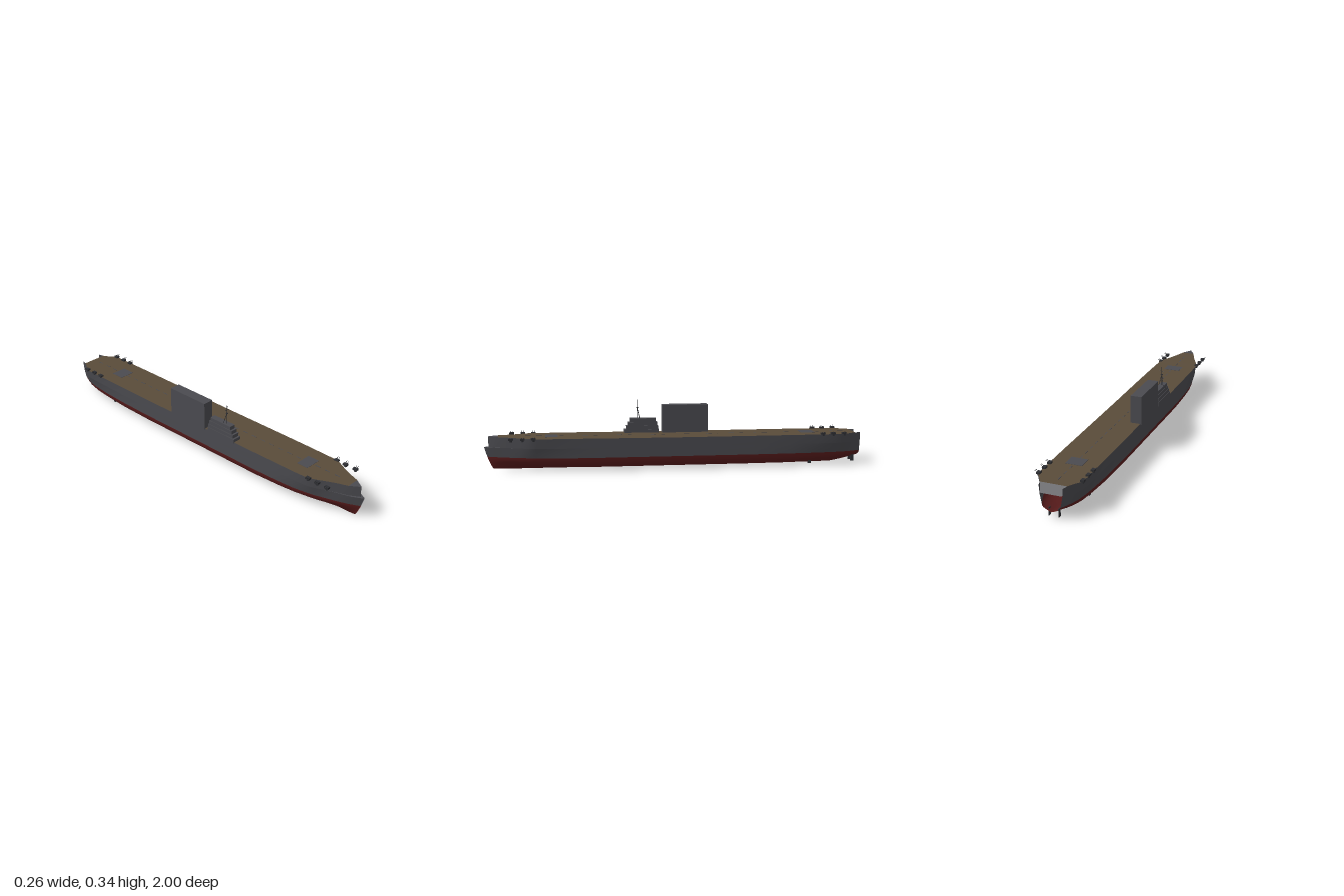
import * as THREE from 'three';

const paint = (name, color, double) => {
  const m = new THREE.MeshStandardMaterial({ color });
  m.name = name;
  if (double) m.side = THREE.DoubleSide;
  return m;
};

// Hull stations: z, keel height, half width at waterline, half width at deck, deck height, bilge fullness
const STATIONS = [
  [-1.0, 0.036, 0.046, 0.06, 0.165, 0.5],
  [-0.97, 0.029, 0.06, 0.068, 0.165, 0.55],
  [-0.94, 0.021, 0.073, 0.085, 0.165, 0.6],
  [-0.9, 0.012, 0.086, 0.114, 0.165, 0.65],
  [-0.85, 0.003, 0.095, 0.116, 0.165, 0.72],
  [-0.75, 0.001, 0.105, 0.116, 0.165, 0.8],
  [-0.6, 0, 0.113, 0.117, 0.165, 0.95],
  [-0.4, 0, 0.117, 0.117, 0.165, 1],
  [0, 0, 0.117, 0.117, 0.165, 1],
  [0.4, 0, 0.117, 0.117, 0.167, 1],
  [0.55, 0, 0.112, 0.116, 0.168, 0.9],
  [0.65, 0, 0.105, 0.115, 0.168, 0.8],
  [0.73, 0, 0.092, 0.113, 0.169, 0.7],
  [0.77, 0, 0.082, 0.102, 0.17, 0.65],
  [0.81, 0, 0.069, 0.082, 0.17, 0.6],
  [0.86, 0, 0.05, 0.055, 0.171, 0.5],
  [0.91, 0, 0.026, 0.034, 0.172, 0.4],
  [0.95, 0.003, 0.002, 0.003, 0.173, 0.3],
];
const WATER = 0.066, SHELF = 0.117;
const BILGE = [[0, 0], [0.25, 0.05], [0.5, 0.13], [0.72, 0.27], [0.88, 0.46], [0.97, 0.7], [1, 1]];

// The stem leans forward as it rises
const rake = (z, y) => z + 0.05 * Math.max(0, (z - 0.81) / 0.14) * Math.pow(Math.min(y, SHELF) / SHELF, 0.7);
const topZ = (z) => z + 0.025 * Math.max(0, (z - 0.81) / 0.14);

// Skin through rows of [x, y, z] points
function loft(rows) {
  const n = rows[0].length, index = [];
  for (let i = 0; i < rows.length - 1; i++) {
    for (let j = 0; j < n - 1; j++) {
      const a = i * n + j, b = a + n;
      index.push(a, a + 1, b, a + 1, b + 1, b);
    }
  }
  const g = new THREE.BufferGeometry();
  g.setAttribute('position', new THREE.Float32BufferAttribute(rows.flat(2), 3));
  g.setIndex(index);
  g.computeVertexNormals();
  return g;
}

export function createModel() {
  const grey = paint('hull grey', 0x4b4b50, true);
  const red = paint('antifouling red', 0x5e1e1e, true);
  const brown = paint('deck brown', 0x5a4c3a, true);
  const dark = paint('fitting dark grey', 0x2e2f33);
  const steel = paint('superstructure grey', 0x4b4b50);
  const ship = new THREE.Group();
  ship.name = 'ship';

  const add = (name, geo, mat, parent = ship) => {
    const m = new THREE.Mesh(geo, mat);
    m.name = name;
    parent.add(m);
    return m;
  };
  const box = (name, x0, x1, y0, y1, z0, z1, mat, parent) => {
    const m = add(name, new THREE.BoxGeometry(x1 - x0, y1 - y0, z1 - z0), mat, parent);
    m.position.set((x0 + x1) / 2, (y0 + y1) / 2, (z0 + z1) / 2);
    return m;
  };
  const rod = (name, a, b, r, mat, parent) => {
    const p = new THREE.Vector3(...a), q = new THREE.Vector3(...b);
    const m = add(name, new THREE.CylinderGeometry(r, r, p.distanceTo(q), 8), mat, parent);
    m.position.copy(p).add(q).multiplyScalar(0.5);
    m.quaternion.setFromUnitVectors(new THREE.Vector3(0, 1, 0), q.sub(p).normalize());
    return m;
  };

  // Underwater hull
  add('lowerHull', loft(STATIONS.map(([z, keel, w, , , full]) => {
    const half = BILGE.map(([fx, fy]) => {
      const y = keel + (WATER - keel) * (fx * (1 - full) + fy * full);
      return [fx * w, y, rake(z, y)];
    });
    return [...half.slice(1).reverse().map(([x, y, zz]) => [-x, y, zz]), ...half];
  })), red);

  // Topsides, with a small shelf where the raised bow sits back from the stem
  const shelfWidth = (w, d) => w + (d - w) * 0.7;
  for (const s of [1, -1]) {
    const order = (row) => (s > 0 ? row : row.reverse());
    add('hullSide', loft(STATIONS.map(([z, , w, d]) => order([0, 0.5, 1].map((t) => {
      const y = WATER + (SHELF - WATER) * t;
      return [s * (w + (shelfWidth(w, d) - w) * t), y, rake(z, y)];
    })))), grey);
    add('upperHullSide', loft(STATIONS.map(([z, , w, d, top]) => order([
      [s * shelfWidth(w, d), SHELF, topZ(z)], [s * d, top, topZ(z)],
    ]))), grey);
  }
  const bow = STATIONS.slice(-4);
  add('bowShelf', loft(bow.map(([z, , w, d]) => {
    const x = shelfWidth(w, d);
    return [[x, SHELF, rake(z, SHELF)], [-x, SHELF, rake(z, SHELF)]];
  })), grey);
  box('stemPost', -0.002, 0.002, SHELF, 0.172, 0.968, 0.977, steel);

  // Flight deck, grey bow tip and stern ramp
  const deckRow = ([z, , , d, top]) => [[d, top, topZ(z)], [-d, top, topZ(z)]];
  add('flightDeck', loft(STATIONS.slice(1, -1).map(deckRow)), brown);
  add('bowTip', loft(STATIONS.slice(-2).map(deckRow)), grey);
  add('sternRamp', loft([
    [[0.055, 0.125, -1], [-0.055, 0.125, -1]],
    [[0.068, 0.165, -0.97], [-0.068, 0.165, -0.97]],
  ]), grey);

  // Lifts and dashed centre line
  box('forwardLift', -0.045, 0.045, 0.163, 0.1695, 0.62, 0.685, steel);
  box('aftLift', -0.043, 0.043, 0.161, 0.1665, -0.755, -0.68, steel);
  for (let z = -0.92; z < 0.86; z += 0.06) {
    const y = z > 0.66 ? 0.1715 : z > 0 ? 0.1655 + 0.0045 * z : 0.1655;
    box('centreDash', -0.002, 0.002, y - 0.002, y + 0.0005, z, z + 0.03, steel);
  }

  // Stepped island with a tripod mast
  const island = new THREE.Group();
  island.name = 'island';
  ship.add(island);
  const cx = -0.094;
  [
    [0.024, 0.16, 0.183, 0.075, 0.262],
    [0.0215, 0.183, 0.202, 0.079, 0.251],
    [0.019, 0.202, 0.222, 0.083, 0.241],
    [0.0165, 0.222, 0.242, 0.09, 0.23],
  ].forEach(([w, y0, y1, z0, z1]) => box('islandTier', cx - w, cx + w, y0, y1, z0, z1, steel, island));
  rod('mast', [cx, 0.24, 0.19], [cx, 0.343, 0.19], 0.002, dark, island);
  for (const s of [-1, 1]) rod('mastLeg', [cx + s * 0.013, 0.24, 0.177], [cx, 0.3, 0.19], 0.0015, dark, island);
  rod('yardArm', [cx - 0.013, 0.32, 0.19], [cx + 0.013, 0.32, 0.19], 0.001, dark, island);
  box('mastPlatform', cx - 0.005, cx + 0.005, 0.298, 0.301, 0.185, 0.195, dark, island);

  // Tall block behind the island
  box('funnelBlock', -0.122, -0.064, 0.16, 0.313, -0.19, 0.057, steel);

  // Twin gun mounts along both edges
  for (const s of [-1, 1]) {
    for (const z of [0.86, 0.8, 0.745, -0.78, -0.835, -0.895]) {
      const gun = new THREE.Group();
      gun.name = 'gunMount';
      gun.position.set(s * 0.111, 0, z);
      ship.add(gun);
      rod('pedestal', [0, 0.156, 0], [0, 0.166, 0], 0.007, dark, gun);
      box('gunHouse', -0.01, 0.008, 0.164, 0.174, -0.012, 0.012, dark, gun);
      for (const k of [-0.005, 0.005]) rod('barrel', [0, 0.169, k], [s * 0.017, 0.18, k], 0.0011, dark, gun);
    }
  }

  // Rudders and shaft brackets
  for (const s of [-1, 1]) {
    box('rudder', s * 0.025 - 0.002, s * 0.025 + 0.002, 0.004, 0.045, -0.977, -0.96, dark);
    box('shaftBracket', s * 0.066 - 0.002, s * 0.066 + 0.002, 0.003, 0.024, -0.73, -0.712, dark);
  }
  return ship;
}
